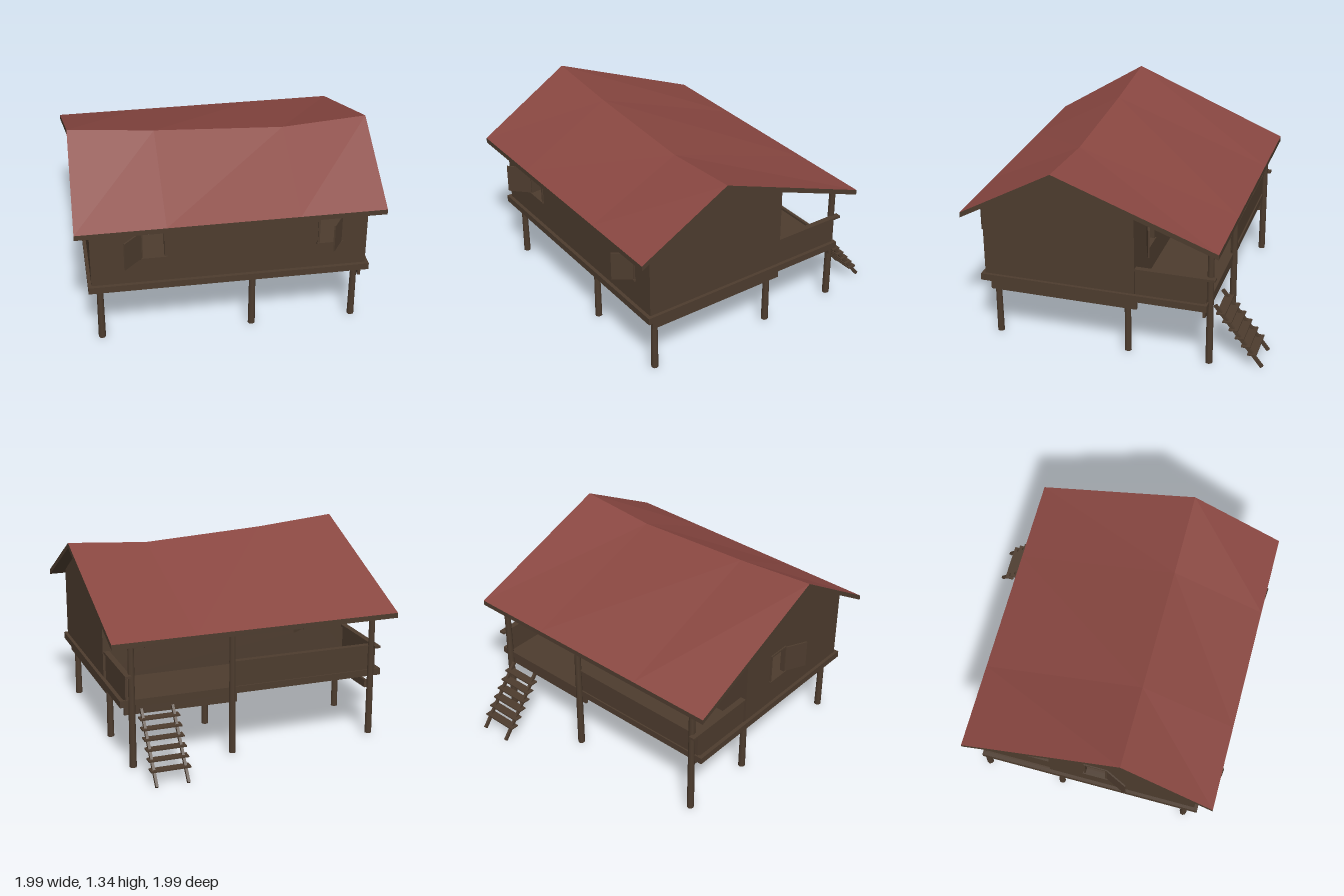
import * as THREE from 'three';

const wood = new THREE.MeshStandardMaterial({ color: 0x4d3c2e, side: THREE.DoubleSide });
wood.name = 'brown wood';
const red = new THREE.MeshStandardMaterial({ color: 0x894741, side: THREE.DoubleSide });
red.name = 'red roofing';

function add(parent, name, geometry, material = wood) {
  const mesh = new THREE.Mesh(geometry, material);
  mesh.name = name;
  parent.add(mesh);
  return mesh;
}

// Box given by its lower and upper limits on each axis
function block(parent, name, x0, x1, y0, y1, z0, z1) {
  const mesh = add(parent, name, new THREE.BoxGeometry(x1 - x0, y1 - y0, z1 - z0));
  mesh.position.set((x0 + x1) / 2, (y0 + y1) / 2, (z0 + z1) / 2);
  return mesh;
}

// Beam of rectangular section between two points
function beam(parent, name, a, b, width, height) {
  const from = new THREE.Vector3(...a), to = new THREE.Vector3(...b);
  const mesh = add(parent, name, new THREE.BoxGeometry(width, height, from.distanceTo(to)));
  mesh.position.copy(from).add(to).multiplyScalar(0.5);
  mesh.lookAt(to);
  return mesh;
}

function quads(list) {
  const pos = [];
  for (const [a, b, c, d] of list) pos.push(...a, ...b, ...c, ...a, ...c, ...d);
  const g = new THREE.BufferGeometry();
  g.setAttribute('position', new THREE.Float32BufferAttribute(pos, 3));
  g.computeVertexNormals();
  return g;
}

// Wall in its own XY plane facing +z, with framed openings and open shutters
function wall(parent, name, outline, windows, position, turn) {
  const group = new THREE.Group();
  group.name = name;
  group.position.set(...position);
  group.rotation.y = turn;
  parent.add(group);
  const shape = new THREE.Shape(outline.map(p => new THREE.Vector2(...p)));
  const y0 = 0.665, y1 = 0.86, t = 0.012;
  for (const w of windows) {
    shape.holes.push(new THREE.Path([[w.x0, y0], [w.x0, y1], [w.x1, y1], [w.x1, y0]]
      .map(p => new THREE.Vector2(...p))));
    // frame
    for (const x of [w.x0, w.x1]) block(group, 'windowJamb', x - t / 2, x + t / 2, y0 - t, y1 + t, -0.025, 0.008);
    block(group, 'windowHead', w.x0, w.x1, y1, y1 + t, -0.025, 0.008);
    block(group, 'windowSill', w.x0 - t, w.x1 + t, y0 - t, y0, -0.025, 0.015);
    // shutter from hinge to free edge
    const dx = w.tip[0] - w.hinge, dz = w.tip[1];
    const s = add(group, 'shutter', new THREE.BoxGeometry(Math.hypot(dx, dz), y1 - y0, 0.01));
    s.position.set(w.hinge + dx / 2, (y0 + y1) / 2, dz / 2);
    s.rotation.y = -Math.atan2(dz, dx);
  }
  const g = new THREE.ExtrudeGeometry(shape, { depth: 0.02, bevelEnabled: false });
  g.translate(0, 0, -0.02);
  add(group, name + 'Panel', g);
}

function buildRoof(parent) {
  // sagging ridge: [x at eave, x at ridge, ridge height]
  const stations = [[-0.995, -0.98, 1.345], [-0.42, -0.42, 1.295], [0.43, 0.43, 1.25], [0.99, 0.99, 1.29]];
  const drop = 0.035;
  const top = stations.map(([xe, xr, y]) => [[xe, 0.945, 0.99], [xr, y, 0.36], [xe, 0.89, -0.725]]);
  const low = top.map(s => s.map(([x, y, z]) => [x, y - drop, z]));
  const skin = [], under = [];
  for (let i = 0; i < 3; i++) {
    for (let j = 0; j < 2; j++) {
      skin.push([top[i][j], top[i + 1][j], top[i + 1][j + 1], top[i][j + 1]]);
      under.push([low[i][j], low[i][j + 1], low[i + 1][j + 1], low[i + 1][j]]);
    }
    under.push([low[i][0], low[i + 1][0], top[i + 1][0], top[i][0]]);
    under.push([low[i + 1][2], low[i][2], top[i][2], top[i + 1][2]]);
  }
  for (let j = 0; j < 2; j++) {
    under.push([low[3][j], low[3][j + 1], top[3][j + 1], top[3][j]]);
    under.push([low[0][j + 1], low[0][j], top[0][j], top[0][j + 1]]);
  }
  add(parent, 'roofCovering', quads(skin), red);
  add(parent, 'roofUnderside', quads(under));
}

export function createModel() {
  const model = new THREE.Group();
  model.name = 'stiltHouse';

  // Stilts; the back row carries the porch roof
  for (const x of [-0.845, 0.16, 0.845]) {
    for (const [z, h] of [[0.81, 0.45], [-0.095, 0.45], [-0.645, 0.89]]) {
      const post = add(model, 'stilt', new THREE.CylinderGeometry(0.021, 0.024, h - 0.02, 8));
      post.position.set(x, (h + 0.02) / 2, z);
    }
  }

  // Floor and the beams beneath it
  block(model, 'floor', -0.9, 0.9, 0.435, 0.46, -0.63, 0.88);
  for (const s of [-1, 1]) block(model, 'floorSideRim', s * 0.91 - 0.012, s * 0.91 + 0.012, 0.432, 0.478, -0.64, 0.9);
  block(model, 'floorFrontRim', -0.922, 0.922, 0.432, 0.478, 0.876, 0.9);
  block(model, 'floorBackRim', -0.9, 0.9, 0.432, 0.478, -0.64, -0.62);
  block(model, 'rightSideBeam', 0.865, 0.885, 0.355, 0.412, -0.165, 0.845);
  beam(model, 'leftSideBeam', [-0.82, 0.362, -0.03], [-0.82, 0.376, -0.63], 0.018, 0.055);
  beam(model, 'backBeam', [0.12, 0.397, -0.615], [0.89, 0.403, -0.615], 0.018, 0.06);

  // House walls
  wall(model, 'frontWall', [[-0.9, 0.45], [0.9, 0.45], [0.9, 0.965], [-0.9, 0.965]], [
    { x0: -0.57, x1: -0.42, hinge: -0.57, tip: [-0.69, 0.122] },
    { x0: 0.58, x1: 0.73, hinge: 0.73, tip: [0.65, 0.122] },
  ], [0, 0, 0.875], 0);
  wall(model, 'backWall', [[-0.9, 0.45], [0.9, 0.45], [0.9, 1.06], [-0.9, 1.06]], [
    { x0: 0.57, x1: 0.72, hinge: 0.57, tip: [0.45, 0.085] },
    { x0: -0.6, x1: -0.45, hinge: -0.6, tip: [-0.74, 0.05] },
  ], [0, 0, -0.155], Math.PI);
  wall(model, 'leftGable', [[-0.155, 0.45], [0.875, 0.45], [0.875, 0.975], [0.36, 1.31], [-0.155, 1.08]], [
    { x0: 0.1, x1: 0.25, hinge: 0.25, tip: [0.4, 0.072] },
  ], [-0.9, 0, 0], -Math.PI / 2);
  wall(model, 'rightGable', [[-0.875, 0.45], [0.155, 0.45], [0.155, 1.065], [-0.36, 1.262], [-0.875, 0.965]],
    [], [0.9, 0, 0], Math.PI / 2);

  // Porch parapets with hand rails, open beside the ladder
  for (const s of [-1, 1]) {
    block(model, 'porchSidePanel', s * 0.875 - 0.008, s * 0.875 + 0.008, 0.46, 0.64, -0.63, -0.155);
    block(model, 'porchSideRail', s * 0.875 - 0.02, s * 0.875 + 0.02, 0.64, 0.656, -0.685, -0.155);
  }
  block(model, 'porchBackPanel', -0.87, 0.16, 0.46, 0.64, -0.63, -0.615);
  block(model, 'porchBackRail', -0.89, 0.17, 0.64, 0.656, -0.645, -0.605);

  // Ladder
  for (const x of [0.58, 0.79]) beam(model, 'ladderRail', [x, 0.42, -0.665], [x, 0.012, -0.985], 0.018, 0.022);
  for (let i = 0; i < 6; i++) {
    const y = 0.1 + i * 0.054, z = -0.915 + i * 0.0425;
    block(model, 'ladderStep', 0.55, 0.815, y - 0.005, y + 0.005, z - 0.034, z + 0.026);
  }

  buildRoof(model);
  return model;
}
